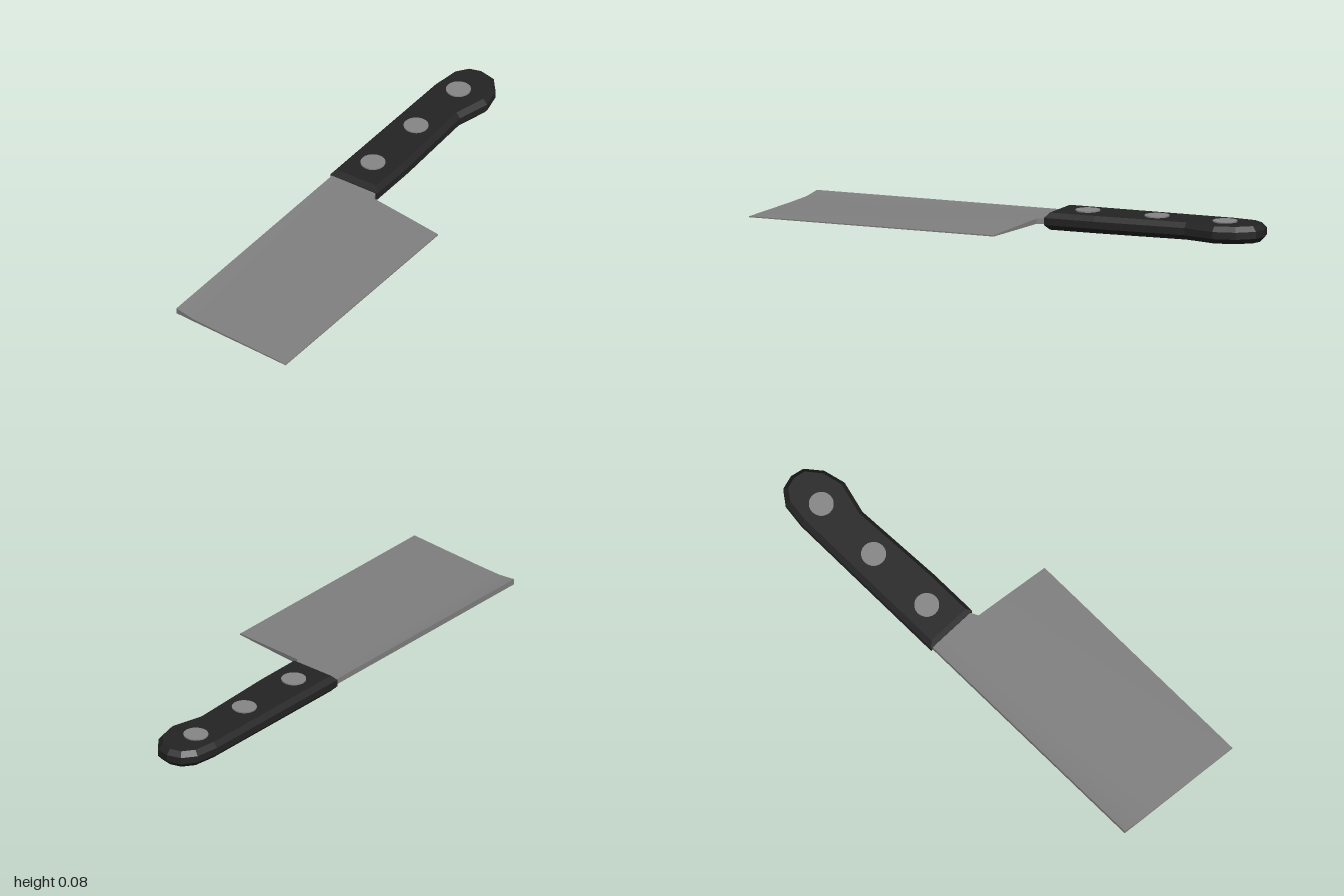
import * as THREE from 'three';
import { toCreasedNormals } from 'three/addons/utils/BufferGeometryUtils.js';

const steel = new THREE.MeshStandardMaterial({ color: 0x808080 });
steel.name = 'steel';
const rivetMetal = new THREE.MeshStandardMaterial({ color: 0x868686 });
rivetMetal.name = 'rivet metal';
const black = new THREE.MeshStandardMaterial({ color: 0x242424 });
black.name = 'black handle';

// Wedge blade lofted across its width, from thick spine to thin cutting edge
function bladeGeometry() {
  const bottom = 0.03;
  // x, back z, front z, top at the back, top at the front
  const sections = [
    [-0.27, -0.13, 0.955, 0.053, 0.053],
    [-0.19, -0.13, 0.962, 0.053, 0.041],
    [-0.07, -0.12, 0.971, 0.052, 0.038],
    [-0.05, -0.08, 0.973, 0.051, 0.0375],
    [0.1, -0.064, 0.984, 0.044, 0.036],
    [0.275, -0.045, 0.998, 0.035, 0.034],
  ];
  const rings = sections.map(([x, zb, zf, tb, tf]) => [
    [x, tb, zb], [x, tf, zf], [x, bottom, zf], [x, bottom, zb],
  ]);
  const positions = [];
  const quad = (a, b, c, d) => positions.push(...a, ...b, ...c, ...a, ...c, ...d);
  for (let i = 0; i < rings.length - 1; i++) {
    for (let k = 0; k < 4; k++) {
      const n = (k + 1) % 4;
      quad(rings[i][k], rings[i][n], rings[i + 1][n], rings[i + 1][k]);
    }
  }
  quad(...[...rings[0]].reverse());
  quad(...rings[rings.length - 1]);
  const geometry = new THREE.BufferGeometry();
  geometry.setAttribute('position', new THREE.Float32BufferAttribute(positions, 3));
  return toCreasedNormals(geometry, 0.5);
}

// Handle outline in x and z, extruded with a single chamfer
function handleGeometry() {
  const outline = [
    [-0.278, -0.11], [-0.278, -0.83], [-0.265, -0.93], [-0.225, -0.984],
    [-0.168, -1.0], [-0.112, -0.988], [-0.06, -0.925], [-0.038, -0.835],
    [-0.073, -0.7], [-0.056, -0.32], [-0.055, -0.11],
  ];
  const shape = new THREE.Shape(outline.map(([x, z]) => new THREE.Vector2(x, z)));
  const geometry = new THREE.ExtrudeGeometry(shape, {
    depth: 0.028, bevelEnabled: true, bevelSegments: 1,
    bevelThickness: 0.02, bevelSize: 0.018, bevelOffset: -0.018,
  });
  geometry.rotateX(Math.PI / 2);
  geometry.translate(0, 0.055, 0);
  return geometry;
}

export function createModel() {
  const model = new THREE.Group();
  model.name = 'cleaver';
  const add = (name, geometry, material) => {
    const mesh = new THREE.Mesh(geometry, material);
    mesh.name = name;
    model.add(mesh);
    return mesh;
  };

  add('blade', bladeGeometry(), steel);
  add('handle', handleGeometry(), black);

  // Rivets pass right through the handle
  [-0.83, -0.54, -0.245].forEach((z, i) => {
    const rivet = add(`rivet${i + 1}`, new THREE.CylinderGeometry(0.049, 0.049, 0.08, 20), rivetMetal);
    rivet.position.set(-0.17, 0.04, z);
  });
  return model;
}
